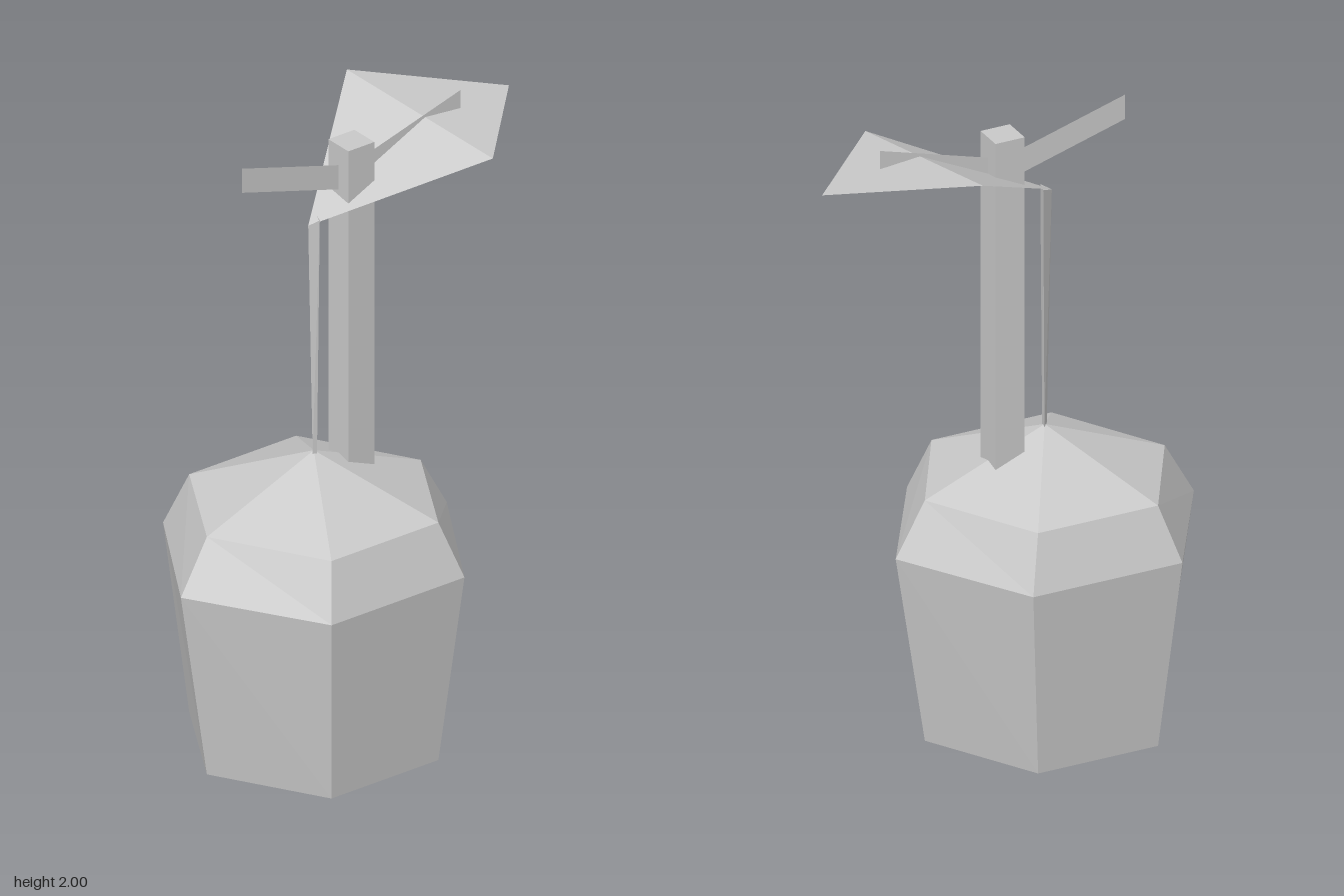
import * as THREE from 'three';

const grey = new THREE.MeshStandardMaterial({ color: 0xc8c8c8, flatShading: true, side: THREE.DoubleSide });
grey.name = 'pale grey';

function addMesh(parent, name, geometry) {
  const mesh = new THREE.Mesh(geometry, grey);
  mesh.name = name;
  parent.add(mesh);
  return mesh;
}

// Flat-faced surface from corner points and corner indices
function facets(points, index) {
  const g = new THREE.BufferGeometry();
  g.setAttribute('position', new THREE.Float32BufferAttribute(points.flat(), 3));
  g.setIndex(index);
  const flat = g.toNonIndexed();
  flat.computeVertexNormals();
  return flat;
}

export function createModel() {
  const model = new THREE.Group();
  model.name = 'hangingFruit';

  // Six-sided fruit body, its shoulder ring slightly squashed front to back
  const profile = [[0, 0], [0.37, 0.157], [0.46, 0.735], [0.37, 0.895], [0, 1.045]]
    .map(([r, y]) => new THREE.Vector2(r, y));
  const bodyGeometry = new THREE.LatheGeometry(profile, 6, Math.PI / 2);
  const pos = bodyGeometry.attributes.position;
  for (let i = 0; i < pos.count; i++) {
    if (Math.abs(pos.getY(i) - 0.735) < 0.01) pos.setZ(i, pos.getZ(i) * 0.953);
  }
  bodyGeometry.computeVertexNormals();
  addMesh(model, 'fruitBody', bodyGeometry).position.x = -0.13;

  // Square post sunk into the top of the fruit
  const post = addMesh(model, 'post', new THREE.BoxGeometry(0.09, 1.035, 0.09));
  post.position.y = 1.965 - 1.035 / 2;

  // Two thin arms rising from the post
  for (const side of [-1, 1]) {
    const arm = [[0, 1.815, 0], [side * 0.378, 1.925, 0], [side * 0.378, 2, 0], [0, 1.89, 0]];
    addMesh(model, side > 0 ? 'leftArm' : 'rightArm',
      facets(arm, side > 0 ? [0, 1, 2, 0, 2, 3] : [0, 2, 1, 0, 3, 2]));
  }

  // Three-sided stem widening towards the leaf
  addMesh(model, 'leafStem', facets([
    [-0.14, 1.035, 0.008], [-0.128, 1.035, 0.012], [-0.124, 1.035, -0.01],
    [-0.157, 1.755, 0.01], [-0.13, 1.77, 0.027], [-0.115, 1.775, -0.02],
  ], [0, 1, 4, 0, 4, 3, 1, 2, 5, 1, 5, 4, 2, 0, 3, 2, 3, 5]));

  // Large leaf, creased across its middle
  addMesh(model, 'leaf', facets([
    [-0.157, 1.755, 0.01], [0.215, 1.99, -0.3], [0.58, 1.93, -0.045], [0.29, 1.925, 0.26],
  ], [0, 3, 1, 1, 3, 2]));

  return model;
}
